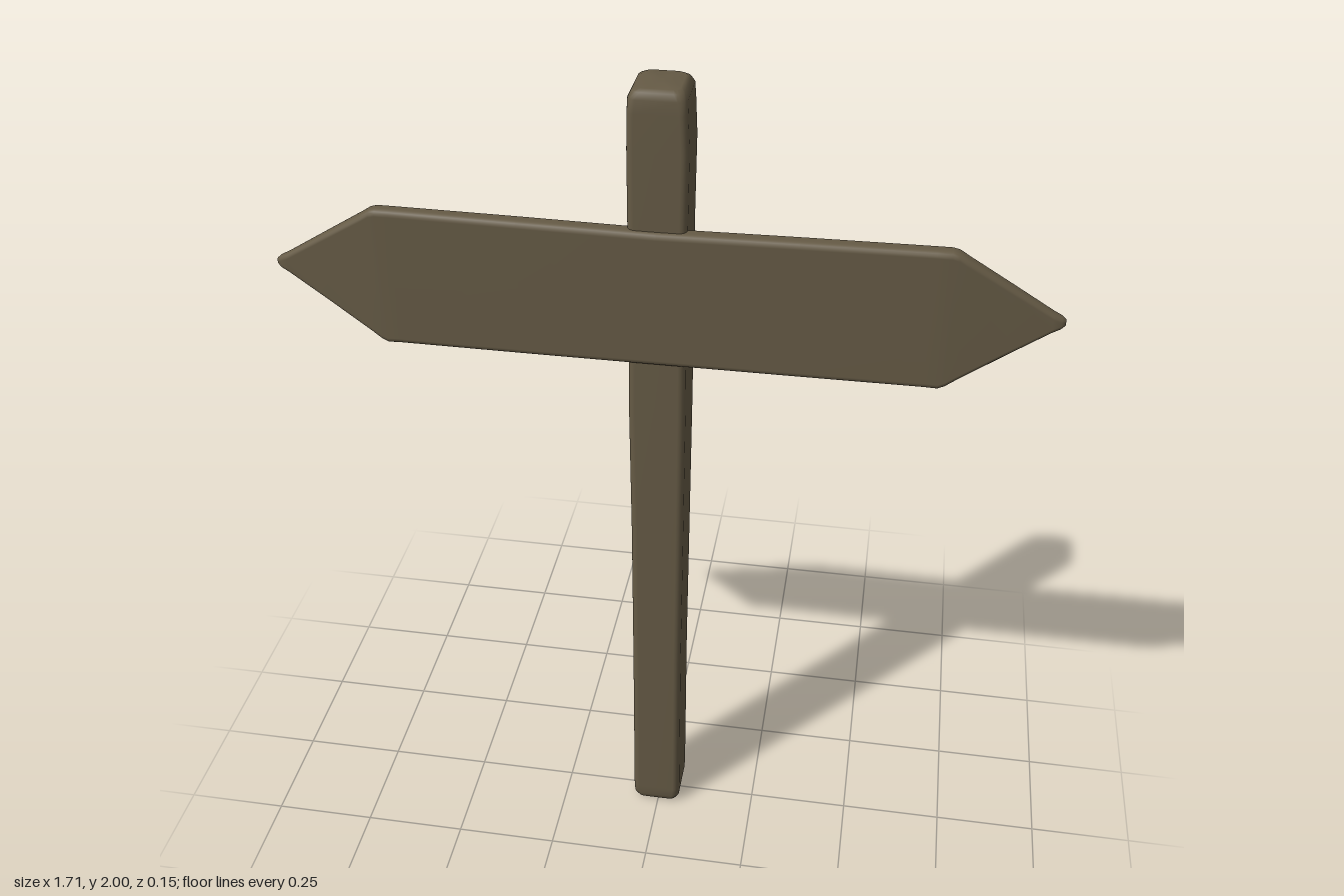
import * as THREE from 'three';

// Points of a rounded rectangle, counter-clockwise in (u, v)
function roundedRing(u, v, w, h, r, steps = 4) {
  const ring = [];
  const corners = [[1, 1, 0], [-1, 1, 1], [-1, -1, 2], [1, -1, 3]];
  for (const [su, sv, q] of corners) {
    for (let k = 0; k <= steps; k++) {
      const a = (q + k / steps) * Math.PI / 2;
      ring.push([u + su * (w / 2 - r) + r * Math.cos(a), v + sv * (h / 2 - r) + r * Math.sin(a)]);
    }
  }
  return ring;
}

// Loft rounded sections [position, u, v, width, height, radius]; place() maps (position, u, v) to xyz
function loft(sections, place) {
  const pos = [], index = [];
  let n = 0;
  for (const [a, u, v, w, h, r] of sections) {
    const ring = roundedRing(u, v, w, h, r);
    n = ring.length;
    for (const p of ring) pos.push(...place(a, p[0], p[1]));
  }
  const last = sections.length - 1;
  for (let i = 0; i < last; i++) {
    for (let j = 0; j < n; j++) {
      const a = i * n + j, b = i * n + (j + 1) % n;
      index.push(a, b, b + n, a, b + n, a + n);
    }
  }
  // End caps
  for (const i of [0, last]) {
    const c = pos.length / 3;
    pos.push(...place(sections[i][0], sections[i][1], sections[i][2]));
    for (let j = 0; j < n; j++) {
      const a = i * n + j, b = i * n + (j + 1) % n;
      if (i) index.push(c, a, b); else index.push(c, b, a);
    }
  }
  const g = new THREE.BufferGeometry();
  g.setAttribute('position', new THREE.Float32BufferAttribute(pos, 3));
  g.setIndex(index);
  g.computeVertexNormals();
  return g;
}

export function createModel() {
  const group = new THREE.Group();
  const wood = new THREE.MeshStandardMaterial({ color: 0x655a45 });
  wood.name = 'weathered wood';

  // Square post, slightly uneven, with softened ends: [y, z, x, depth, width, radius]
  const post = new THREE.Mesh(loft([
    [0, -0.004, -0.004, 0.105, 0.09, 0.02],
    [0.006, -0.004, -0.004, 0.122, 0.108, 0.02],
    [0.022, -0.004, -0.004, 0.134, 0.12, 0.018],
    [0.05, -0.004, -0.004, 0.136, 0.122, 0.016],
    [0.5, -0.004, -0.003, 0.137, 0.121, 0.016],
    [0.9, -0.003, -0.001, 0.138, 0.124, 0.016],
    [1.25, -0.004, -0.001, 0.141, 0.129, 0.016],
    [1.45, -0.005, 0, 0.138, 0.126, 0.016],
    [1.7, -0.004, 0, 0.137, 0.128, 0.016],
    [1.87, -0.005, 0.001, 0.139, 0.13, 0.016],
    [1.95, -0.005, 0, 0.138, 0.125, 0.016],
    [1.98, -0.004, 0, 0.135, 0.122, 0.018],
    [1.994, -0.003, 0, 0.122, 0.108, 0.02],
    [2, -0.003, 0, 0.104, 0.09, 0.02],
  ], (y, z, x) => [x, y, z]), wood);
  post.name = 'post';
  group.add(post);

  // Bowed board pointed at both ends: [x, y, z, height, thickness, radius]
  const half = [
    [0.3, 1.539, 0.054, 0.322, 0.042, 0.014],
    [0.58, 1.539, 0.051, 0.325, 0.04, 0.014],
    [0.61, 1.538, 0.05, 0.326, 0.04, 0.014],
    [0.625, 1.539, 0.049, 0.316, 0.039, 0.014],
    [0.645, 1.54, 0.048, 0.288, 0.038, 0.014],
    [0.74, 1.543, 0.041, 0.164, 0.034, 0.013],
    [0.83, 1.545, 0.035, 0.048, 0.029, 0.012],
    [0.848, 1.545, 0.034, 0.03, 0.024, 0.011],
    [0.857, 1.545, 0.033, 0.014, 0.012, 0.005],
  ];
  const mirrored = half.map(([x, ...rest]) => [-x, ...rest]).reverse();
  const board = new THREE.Mesh(loft(
    [...mirrored, [0, 1.538, 0.056, 0.318, 0.042, 0.014], ...half],
    (x, y, z) => [x, y, z]), wood);
  board.name = 'arrowBoard';
  group.add(board);

  return group;
}
